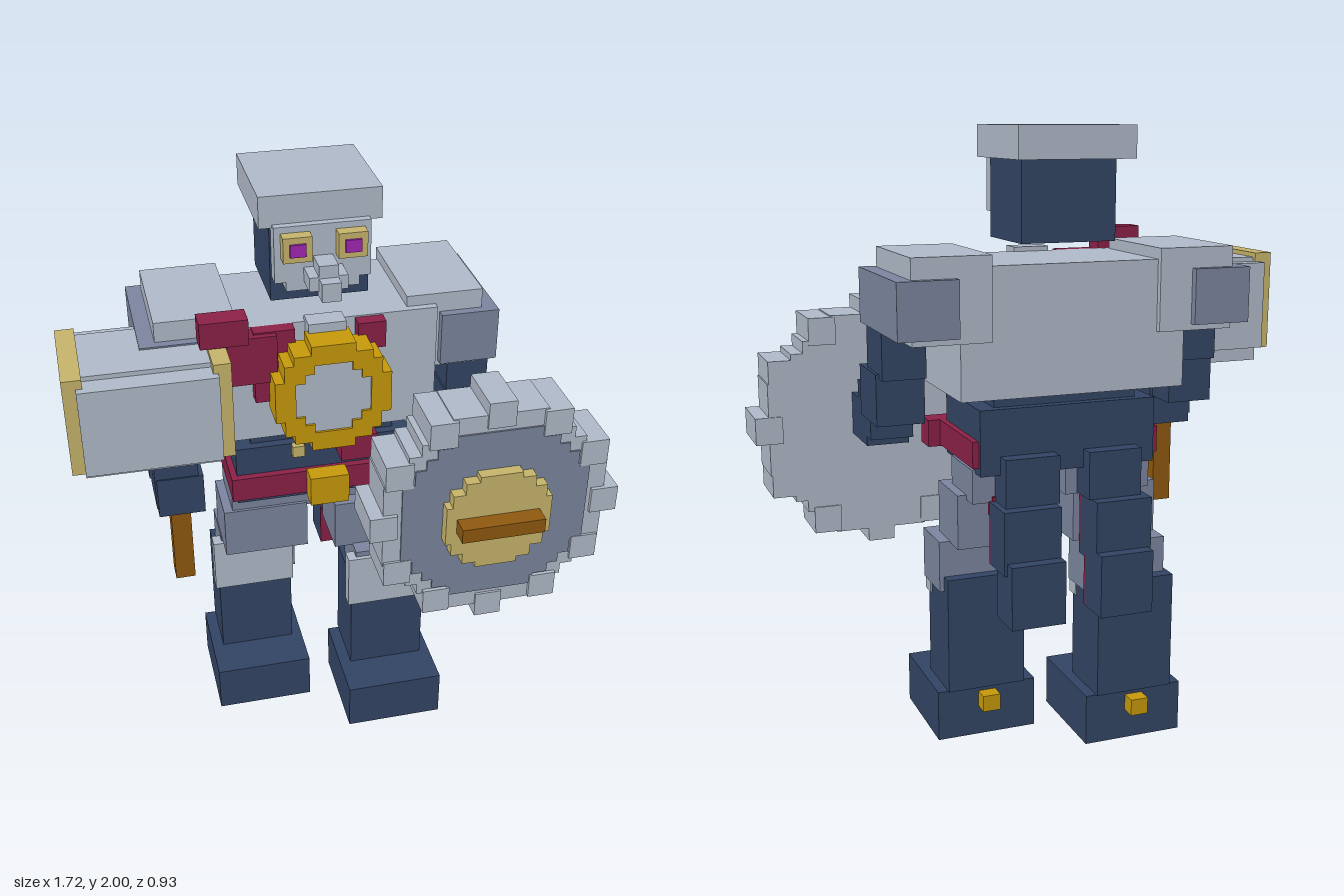
import * as THREE from 'three';

const mat = (name, color) => {
  const m = new THREE.MeshStandardMaterial({ color });
  m.name = name;
  return m;
};

export function createModel() {
  const root = new THREE.Group();
  const steel = mat('light steel', 0xb2bccb);
  const slate = mat('slate', 0x7d87a1);
  const navy = mat('navy', 0x334565);
  const crimson = mat('crimson', 0x8c2148);
  const gold = mat('gold', 0xc99b0c);
  const tan = mat('tan', 0xc8b66c);
  const brown = mat('brown', 0x905a10);
  const purple = mat('purple', 0xa426b6);

  // Box given by its limits along each axis
  const box = (name, m, x0, x1, y0, y1, z0, z1) => {
    const mesh = new THREE.Mesh(new THREE.BoxGeometry(x1 - x0, y1 - y0, z1 - z0), m);
    mesh.position.set((x0 + x1) / 2, (y0 + y1) / 2, (z0 + z1) / 2);
    mesh.name = name;
    root.add(mesh);
    return mesh;
  };
  // The body is symmetric about x = -0.04
  const pair = (name, m, x0, x1, ...r) => {
    box(name + 'Left', m, x0, x1, ...r);
    box(name + 'Right', m, -0.08 - x1, -0.08 - x0, ...r);
  };

  // Stepped disc outline from one quadrant of [half width, half height] corners
  const outline = (steps) => {
    const quarter = [];
    steps.forEach(([w, h], i) => {
      if (i) quarter.push([w, steps[i - 1][1]]);
      quarter.push([w, h]);
    });
    const back = [...quarter].reverse();
    return [
      ...quarter,
      ...back.map(([x, y]) => [-x, y]),
      ...quarter.map(([x, y]) => [-x, -y]),
      ...back.map(([x, y]) => [x, -y]),
    ].map(([x, y]) => new THREE.Vector2(x, y));
  };
  const disc = (name, m, steps, cx, cy, z0, z1, hole) => {
    const shape = new THREE.Shape(outline(steps));
    if (hole) shape.holes.push(new THREE.Path(outline(hole)));
    const geo = new THREE.ExtrudeGeometry(shape, { depth: z1 - z0, bevelEnabled: false });
    const mesh = new THREE.Mesh(geo, m);
    mesh.position.set(cx, cy, z0);
    mesh.name = name;
    root.add(mesh);
  };

  // Head, helmet and face
  box('head', navy, -0.195, 0.115, 1.65, 1.9, -0.315, -0.04);
  box('helmetTop', steel, -0.23, 0.15, 1.9, 2.0, -0.385, -0.015);
  box('faceMask', steel, -0.19, 0.11, 1.73, 1.91, -0.04, 0.01);
  box('jaw', steel, -0.155, 0.075, 1.7, 1.73, -0.04, 0.01);
  pair('eyeFrame', tan, 0.0, 0.09, 1.81, 1.89, 0.01, 0.05);
  pair('eye', purple, 0.02, 0.07, 1.83, 1.87, 0.05, 0.058);
  box('noseBridge', steel, -0.07, -0.01, 1.77, 1.81, 0.01, 0.09);
  box('moustache', steel, -0.1, 0.02, 1.73, 1.775, 0.01, 0.09);
  box('beardTip', steel, -0.07, -0.01, 1.71, 1.77, 0.07, 0.13);

  // Torso and shoulders
  box('torso', steel, -0.41, 0.33, 1.19, 1.595, -0.375, 0.015);
  box('collar', steel, -0.1, 0.02, 1.55, 1.61, 0.0, 0.07);
  pair('pauldron', steel, 0.235, 0.485, 1.37, 1.63, -0.395, -0.01);
  pair('shoulderGuard', slate, 0.345, 0.535, 1.39, 1.565, -0.42, 0.02);

  // Diagonal sash
  box('sashShoulder', crimson, -0.44, -0.29, 1.58, 1.665, 0.025, 0.1);
  box('sashUpper', crimson, -0.355, -0.2, 1.43, 1.59, 0.015, 0.08);
  box('sashMiddle', crimson, -0.27, -0.14, 1.35, 1.595, 0.015, 0.06);
  box('sashLow', crimson, -0.1, 0.07, 1.18, 1.26, 0.015, 0.07);
  box('sashHip', crimson, 0.0, 0.12, 1.11, 1.2, 0.0, 0.09);
  box('strapLeft', crimson, 0.06, 0.15, 1.5, 1.59, 0.015, 0.06);

  // Chest medallion
  const inner = [[0.12, 0.06], [0.09, 0.09], [0.06, 0.12]];
  disc('medallionRing', gold,
    [[0.185, 0.07], [0.155, 0.125], [0.125, 0.155], [0.07, 0.185]], -0.04, 1.395, 0.05, 0.158, inner);
  disc('medallionPlate', steel, inner, -0.04, 1.395, 0.05, 0.15);

  // Hips and belt
  box('hips', navy, -0.335, 0.255, 0.94, 1.15, -0.33, 0.01);
  box('waist', navy, -0.28, 0.2, 1.15, 1.19, -0.3, -0.02);
  box('belt', crimson, -0.355, 0.275, 0.965, 1.05, -0.315, 0.035);
  box('beltPouch', crimson, 0.17, 0.315, 0.96, 1.05, 0.02, 0.1);
  box('buckle', gold, -0.105, 0.025, 0.955, 1.06, 0.035, 0.1);
  box('beltStud', tan, -0.15, -0.11, 1.11, 1.15, 0.01, 0.035);

  // Arms step down and forward to the hands
  pair('upperArm', navy, 0.39, 0.53, 1.24, 1.4, -0.22, -0.04);
  pair('elbow', navy, 0.385, 0.54, 1.09, 1.255, -0.18, 0.02);
  pair('forearm', navy, 0.39, 0.53, 1.02, 1.19, -0.06, 0.095);
  box('handLeft', navy, 0.39, 0.53, 0.99, 1.13, -0.01, 0.18);
  box('handRight', navy, -0.605, -0.455, 0.99, 1.13, -0.06, 0.1);

  // Hammer held in the right hand
  box('hammerHandle', brown, -0.565, -0.5, 0.7, 1.25, -0.01, 0.06);
  box('hammerHead', steel, -0.82, -0.4, 1.255, 1.545, -0.17, 0.215);
  box('hammerCore', steel, -0.82, -0.4, 1.205, 1.56, -0.125, 0.145);
  box('hammerCapOuter', tan, -0.86, -0.8, 1.25, 1.575, -0.14, 0.19);
  box('hammerCapInner', tan, -0.415, -0.36, 1.25, 1.575, -0.14, 0.19);

  // Round shield with twelve rim blocks
  const sx = 0.44, sy = 1.02;
  disc('shieldRim', steel,
    [[0.37, 0.155], [0.325, 0.2], [0.29, 0.25], [0.25, 0.29], [0.2, 0.325], [0.155, 0.37]], sx, sy, 0.18, 0.36);
  for (let i = 0; i < 12; i++) {
    const a = (i * Math.PI) / 6;
    const x = sx + 0.37 * Math.cos(a), y = sy + 0.37 * Math.sin(a);
    const d = i % 2 ? 0.005 : 0;
    box('rimBlock' + i, steel, x - 0.045, x + 0.045, y - 0.045, y + 0.045, 0.175 + d, 0.373 - d);
  }
  disc('shieldFace', slate,
    [[0.31, 0.15], [0.27, 0.2], [0.235, 0.235], [0.2, 0.27], [0.15, 0.31]], sx, sy, 0.3, 0.366);
  disc('shieldBoss', tan,
    [[0.175, 0.07], [0.155, 0.115], [0.115, 0.155], [0.07, 0.175]], sx, sy, 0.36, 0.405);
  box('shieldBar', brown, 0.3, 0.575, 0.995, 1.045, 0.405, 0.465);

  // Legs, the right one set back in mid-stride
  const leg = (side, dx, dz) => {
    const part = (name, m, x0, x1, y0, y1, z0, z1) =>
      box(name + side, m, x0 + dx, x1 + dx, y0, y1, z0 + dz, z1 + dz);
    part('boot', navy, -0.17, 0.17, 0, 0.17, -0.17, 0.18);
    part('shin', navy, -0.13, 0.135, 0.17, 0.56, -0.18, 0.03);
    part('heelStud', gold, -0.03, 0.03, 0.1, 0.155, -0.22, -0.165);
    part('kneeGuard', steel, -0.145, 0.14, 0.46, 0.66, 0.0, 0.05);
    part('knee', slate, -0.115, 0.15, 0.51, 0.68, -0.14, 0.035);
  };
  leg('Left', 0.183, 0);
  leg('Right', -0.263, -0.2);
  box('thighLeft', slate, 0.005, 0.295, 0.675, 0.855, -0.22, -0.02);
  box('thighRight', slate, -0.375, -0.085, 0.675, 0.855, -0.265, -0.06);
  pair('upperThigh', slate, -0.03, 0.265, 0.84, 0.95, -0.28, -0.07);

  // Coat tails, navy outside and crimson lining inside
  pair('tailTop', navy, 0.01, 0.19, 0.845, 1.0, -0.38, -0.22);
  pair('tailMiddle', navy, 0.02, 0.21, 0.64, 0.845, -0.42, -0.29);
  pair('tailMiddleLining', crimson, 0.02, 0.21, 0.64, 0.845, -0.29, -0.281);
  pair('tailBottom', navy, 0.02, 0.2, 0.475, 0.68, -0.46, -0.33);
  pair('tailBottomLining', crimson, 0.02, 0.2, 0.475, 0.68, -0.33, -0.321);
  pair('tailFold', crimson, 0.03, 0.2, 0.79, 0.86, -0.29, -0.24);

  return root;
}
